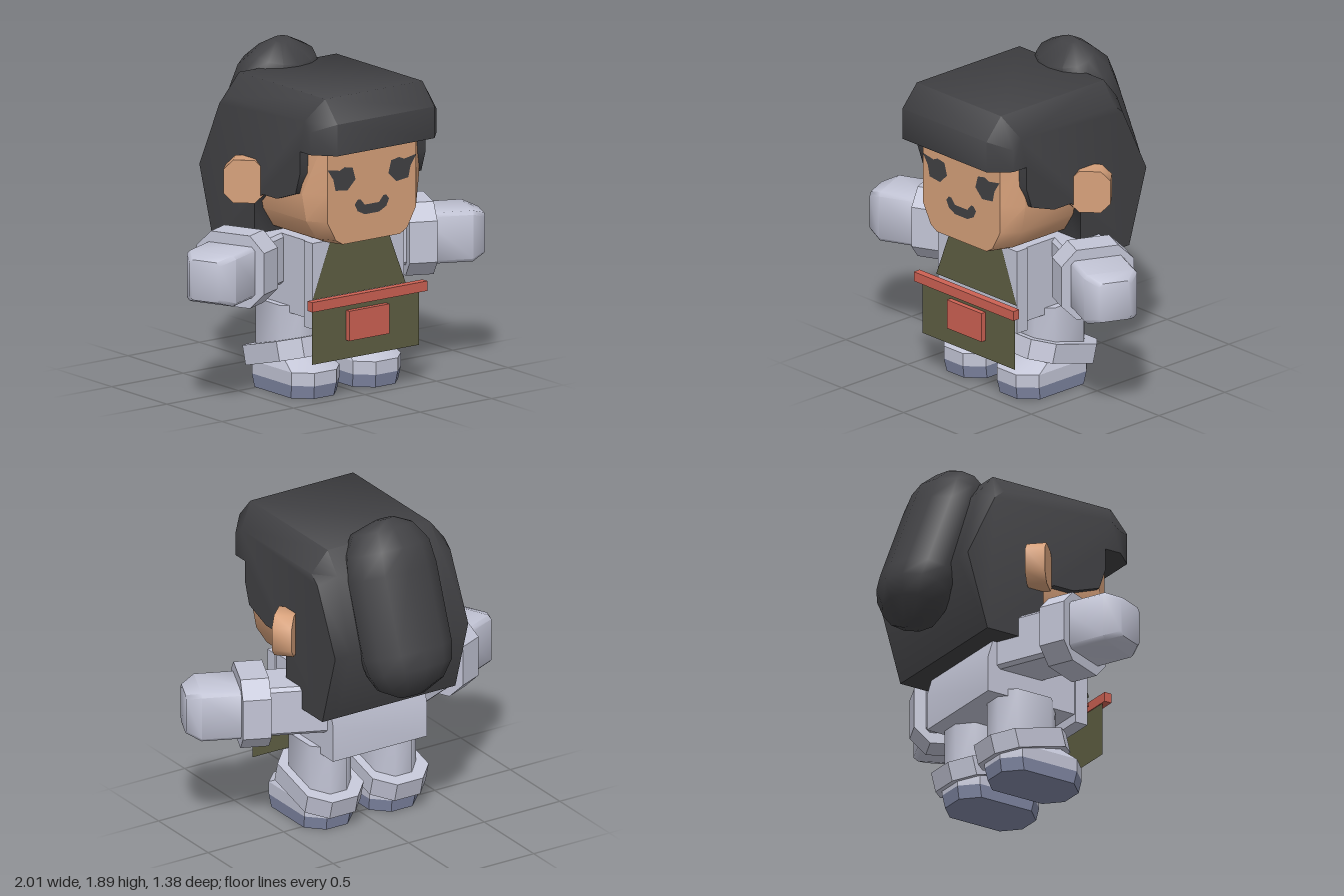
import * as THREE from 'three';
import { toCreasedNormals } from 'three/addons/utils/BufferGeometryUtils.js';

const mat = (name, color, side = THREE.FrontSide) => {
  const m = new THREE.MeshStandardMaterial({ color, side });
  m.name = name;
  return m;
};

// Skin a list of [height, counter-clockwise points] sections along +z, with capped ends
function loft(sections, crease = 0.75) {
  const pos = [];
  const n = sections[0][1].length;
  const put = (s, i) => pos.push(...sections[s][1][i % n], sections[s][0]);
  for (let s = 0; s < sections.length - 1; s++) {
    for (let i = 0; i < n; i++) {
      put(s, i); put(s, i + 1); put(s + 1, i + 1);
      put(s, i); put(s + 1, i + 1); put(s + 1, i);
    }
  }
  const last = sections.length - 1;
  for (const s of [0, last]) {
    const pts = sections[s][1].map(p => new THREE.Vector2(...p));
    for (const [a, b, c] of THREE.ShapeUtils.triangulateShape(pts, [])) {
      put(s, a); put(s, s ? b : c); put(s, s ? c : b);
    }
  }
  const g = new THREE.BufferGeometry();
  g.setAttribute('position', new THREE.Float32BufferAttribute(pos, 3));
  return toCreasedNormals(g, crease);
}

// Rectangle with cut corners
function oct(w, d, c, oy = 0) {
  const x = w / 2, y = d / 2;
  return [[x, c - y], [x, y - c], [x - c, y], [c - x, y], [-x, y - c], [-x, c - y], [c - x, -y], [x - c, -y]]
    .map(([a, b]) => [a, b + oy]);
}

const upright = g => g.rotateX(-Math.PI / 2);  // section y becomes -z, height becomes y
const sideways = g => g.rotateY(Math.PI / 2);  // section x becomes -z, height becomes x
const flip = pts => pts.map(([z, y]) => [-z, y]);

export function createModel() {
  const model = new THREE.Group();
  const hair = mat('hair black', 0x414144);
  const skin = mat('skin tan', 0xd6a07a);
  const cloth = mat('cloth grey', 0xc3c5d6);
  const sole = mat('sole blue grey', 0x8289a6);
  const olive = mat('apron olive', 0x5e5e42, THREE.DoubleSide);
  const red = mat('belt red', 0xcc6153);

  const add = (name, geo, material, x = 0, y = 0, z = 0, ry = 0) => {
    const m = new THREE.Mesh(geo, material);
    m.name = name;
    m.position.set(x, y, z);
    m.rotation.y = ry;
    model.add(m);
    return m;
  };
  const box = (name, material, w, y0, y1, z0, z1) =>
    add(name, new THREE.BoxGeometry(w, y1 - y0, z1 - z0), material, 0, (y0 + y1) / 2, (z0 + z1) / 2);
  const flat = (name, pts, z, material) =>
    add(name, new THREE.ShapeGeometry(new THREE.Shape(pts.map(p => new THREE.Vector2(...p)))), material, 0, 0, z);

  // Head, narrowing towards the chin
  const headSection = ([y, f, s]) =>
    [y, [[-f, -0.56], [f, -0.56], [s, -0.46], [s, 0], [-s, 0], [-s, -0.46]]];
  add('head', upright(loft([
    [0.9, 0.2, 0.24], [0.93, 0.25, 0.31], [1.04, 0.31, 0.38], [1.2, 0.31, 0.41], [1.55, 0.31, 0.39],
  ].map(headSection))), skin);

  // Hair: side profile lofted across, with softened outer edges. Points are [z, y]
  const lower = [[-0.43, 1.2], [-0.3, 0.77], [0.07, 0.77], [0.07, 1.08], [0.14, 1.14],
    [0.27, 1.14], [0.44, 1.2], [0.48, 1.32], [0.48, 1.45]];
  const inner = flip([...lower, [0.69, 1.45], [0.69, 1.63], [0.58, 1.755], [-0.2, 1.755], [-0.3, 1.63]]);
  const outer = flip([...lower, [0.58, 1.45], [0.58, 1.58], [0.52, 1.63], [-0.19, 1.63], [-0.25, 1.58]]);
  // Front on the left when seen from +x, so the profile already runs counter-clockwise after reversing
  const ccw = pts => (THREE.ShapeUtils.area(pts.map(p => new THREE.Vector2(...p))) < 0 ? [...pts].reverse() : pts);
  add('hair', sideways(loft([
    [-0.44, ccw(outer)], [-0.34, ccw(inner)], [0.34, ccw(inner)], [0.44, ccw(outer)],
  ], 0.95)), hair);

  // Tilted hair bun: [distance along axis, half width, front depth, back depth]
  const bun = loft([
    [0, 0.06, 0.0, 0.07], [0.055, 0.19, -0.15, 0.12], [0.164, 0.26, -0.19, 0.185], [0.3, 0.28, -0.2, 0.19],
    [0.75, 0.28, -0.2, 0.19], [0.846, 0.26, -0.2, 0.185], [0.94, 0.2, -0.18, 0.123], [1.005, 0.08, -0.06, 0.0],
  ].map(([t, w, f, b]) => [t, Array.from({ length: 12 }, (_, i) => {
    const a = i * Math.PI / 6;
    return [w * Math.cos(a), (b - f) / 2 * Math.sin(a) - (b + f) / 2];
  })]), 0.9);
  add('hairBun', bun, hair, 0, 1.87, -0.22).rotation.x = 1.923;

  // Facial features
  const eye = [[0.31, 1.34], [0.27, 1.28], [0.255, 1.215], [0.17, 1.205], [0.115, 1.26],
    [0.135, 1.33], [0.19, 1.34], [0.225, 1.325]];
  flat('leftEye', eye, 0.563, hair);
  flat('rightEye', eye.map(([x, y]) => [-x, y]), 0.563, hair);
  flat('mouth', [[-0.12, 1.115], [-0.1, 1.14], [-0.08, 1.14], [-0.05, 1.105], [0.05, 1.105], [0.08, 1.14],
    [0.1, 1.14], [0.12, 1.115], [0.1, 1.075], [0.05, 1.05], [-0.05, 1.05], [-0.1, 1.075]], 0.563, hair);

  // Torso with its front panel
  add('torso', sideways(loft([-0.31, 0.31].map(x => [x, ccw(flip([
    [-0.21, 0.46], [0.36, 0.46], [0.36, 0.9], [-0.14, 0.9], [-0.21, 0.67]]))]), 0.3)), cloth);
  box('frontPanel', cloth, 0.64, 0.41, 0.9, 0.36, 0.44);

  // Apron, belt and pocket
  flat('apronBib', [[-0.325, 0.58], [0.325, 0.58], [0.2, 0.9], [-0.2, 0.9]], 0.447, olive);
  flat('apronSkirt', [[-0.375, 0.228], [0.375, 0.228], [0.375, 0.59], [-0.375, 0.59]], 0.505, olive);
  box('belt', red, 0.805, 0.54, 0.596, 0.5, 0.545);
  box('apronPocket', red, 0.28, 0.335, 0.505, 0.51, 0.54);
  box('innerTie', red, 0.6, 0.54, 0.557, 0.43, 0.465);

  for (const [side, s] of [['left', 1], ['right', -1]]) {
    // Ear: thick cut-corner plate turned outwards
    add(side + 'Ear', loft([[-0.056, oct(0.23, 0.245, 0.055)], [0.056, oct(0.23, 0.245, 0.055)]], 0.9),
      skin, s * 0.468, 1.206, 0.02, s * 0.76);

    // Arm: sleeve, cuff and mitten along one forward-slanting axis
    const turn = s > 0 ? -0.42 : Math.PI + 0.42;
    const limb = (name, sections, crease) =>
      add(side + name, sideways(loft(sections, crease)), cloth, s * 0.62, 0.755, 0.145, turn);
    limb('Sleeve', [[-0.42, oct(0.29, 0.29, 0.02)], [0, oct(0.29, 0.29, 0.02)]]);
    limb('Cuff', [[-0.08, oct(0.425, 0.415, 0.09)], [0.08, oct(0.425, 0.415, 0.09)]]);
    limb('Hand', [[0, oct(0.31, 0.29, 0.02)], [0.3, oct(0.31, 0.29, 0.02)], [0.38, oct(0.19, 0.23, 0.02)]], 0.95);

    // Leg, tilted boot cuff and shoe
    const part = (name, sections, material, crease, y = 0, z = 0, x = 0.215) =>
      add(side + name, upright(loft(sections, crease)), material, s * x, y, z);
    part('Leg', [[0.1, oct(0.27, 0.38, 0.08)], [0.5, oct(0.27, 0.38, 0.08)]], cloth, 0.9, 0, 0.07);
    part('BootCuff', [[-0.056, oct(0.37, 0.518, 0.1)], [0.056, oct(0.37, 0.518, 0.1)]],
      cloth, 0.4, 0.2125, 0.076).rotation.x = -0.263;
    part('Sole', [[0, oct(0.32, 0.51, 0.09)], [0.075, oct(0.335, 0.54, 0.09)]], sole, 0.4, 0, 0.15);
    part('Shoe', [[0.075, oct(0.335, 0.54, 0.09)], [0.15, oct(0.335, 0.54, 0.09)],
      [0.22, oct(0.26, 0.39, 0.08, 0.07)]], cloth, 0.4, 0, 0.15);
  }
  return model;
}
